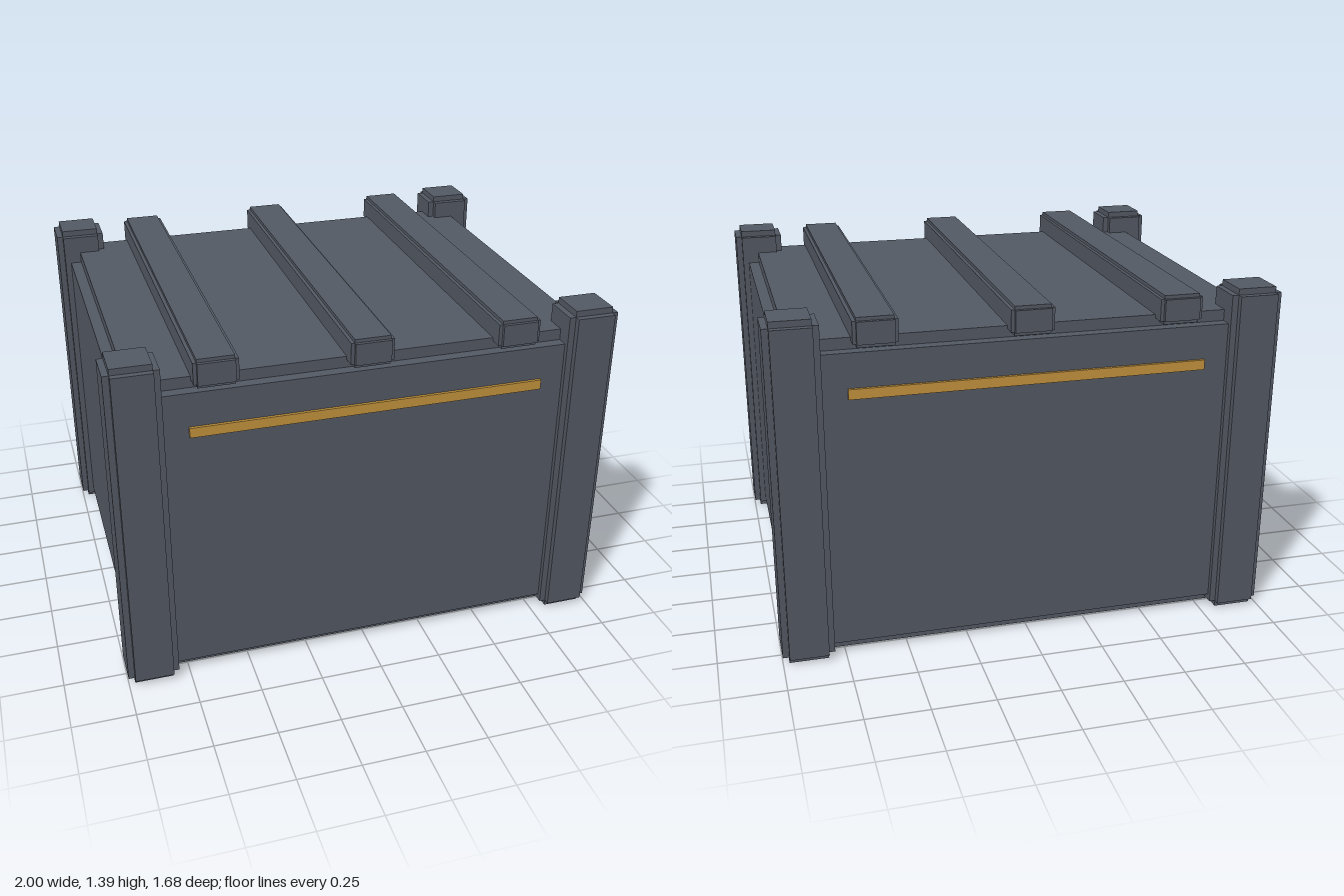
import * as THREE from 'three';
import { mergeGeometries } from 'three/addons/utils/BufferGeometryUtils.js';

// Box with stepped edges: three crossed boxes, each full length along one axis
function steppedBox(w, h, d, b) {
  const s = 2 * b;
  return mergeGeometries([
    new THREE.BoxGeometry(w, h - s, d - s),
    new THREE.BoxGeometry(w - s, h, d - s),
    new THREE.BoxGeometry(w - s, h - s, d),
  ]);
}

export function createModel() {
  const group = new THREE.Group();
  const steel = new THREE.MeshStandardMaterial({ color: 0x555b66 });
  steel.name = 'slate grey';
  const gold = new THREE.MeshStandardMaterial({ color: 0xc8963e });
  gold.name = 'gold';

  const add = (name, geometry, material, x, y, z) => {
    const mesh = new THREE.Mesh(geometry, material);
    mesh.name = name;
    mesh.position.set(x, y, z);
    group.add(mesh);
  };

  // Main crate
  add('crateBody', steppedBox(1.9, 1.288, 1.59, 0.045), steel, 0, 0.648, 0);

  // Corner posts, and a stripe on the front and back
  const post = steppedBox(0.205, 1.39, 0.2, 0.025);
  const stripe = new THREE.BoxGeometry(1.4, 0.04, 0.02);
  for (const sz of [1, -1]) {
    for (const sx of [1, -1]) {
      const name = (sz > 0 ? 'front' : 'back') + (sx > 0 ? 'Left' : 'Right') + 'Post';
      add(name, post, steel, sx * 0.8975, 0.695, sz * 0.74);
    }
    add(sz > 0 ? 'frontStripe' : 'backStripe', stripe, gold, 0, 1.09, sz * 0.797);
  }

  // Slats across the lid
  const slat = steppedBox(0.17, 0.115, 1.63, 0.014);
  [-0.592, 0, 0.592].forEach((x, i) => add('lidSlat' + (i + 1), slat, steel, x, 1.3225, 0));

  return group;
}
